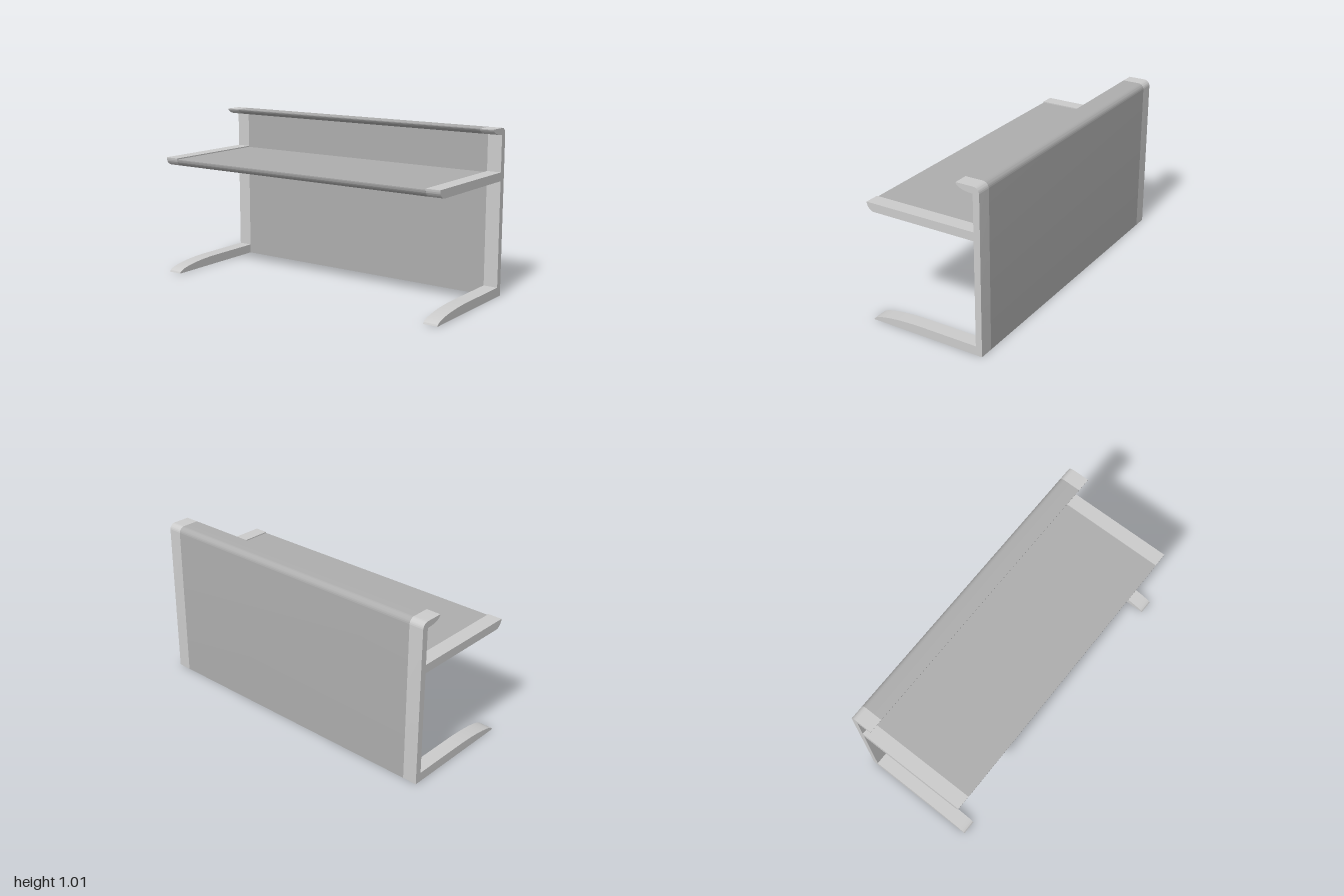
import * as THREE from 'three';
import { toCreasedNormals } from 'three/addons/utils/BufferGeometryUtils.js';

const HALF = 1, INNER = 0.91;          // half length, inner face of the end frames
const FRONT = -0.375, IN = 0.335, BACK = 0.375, TOP = 1.015;

// Side profile of the desk: wall, rounded top lip, shelf and optional foot
function profile(hasFoot, shelfTop) {
  const s = new THREE.Shape();
  s.moveTo(hasFoot ? FRONT : IN, 0);
  s.lineTo(BACK, 0);
  s.lineTo(BACK, TOP - 0.038);
  s.absarc(BACK - 0.038, TOP - 0.038, 0.038, 0, Math.PI / 2, false);
  // lip with a curved underside
  s.lineTo(0.23, TOP);
  s.absellipse(IN, TOP, 0.105, 0.04, Math.PI, Math.PI * 1.5, false, 0);
  // shelf with a rounded lower front edge
  s.lineTo(IN, shelfTop);
  s.lineTo(FRONT, shelfTop);
  s.absellipse(FRONT + 0.05, shelfTop, 0.05, shelfTop - 0.702, Math.PI, Math.PI * 1.5, false, 0);
  s.lineTo(IN, 0.702);
  // foot tapering in a quarter ellipse
  if (hasFoot) {
    s.lineTo(IN, 0.057);
    s.absellipse(-0.02, 0, -0.02 - FRONT, 0.057, Math.PI / 2, Math.PI, false, 0);
  }
  s.closePath();
  return s;
}

function slab(name, shape, z0, z1, color) {
  const geo = new THREE.ExtrudeGeometry(shape, { depth: z1 - z0, bevelEnabled: false, curveSegments: 20 });
  geo.translate(0, 0, z0);
  const mesh = new THREE.Mesh(toCreasedNormals(geo, 0.6), new THREE.MeshStandardMaterial({ color }));
  mesh.name = name;
  return mesh;
}

export function createModel() {
  const group = new THREE.Group();
  group.name = 'receptionDesk';
  // end frames standing on feet
  const frame = profile(true, 0.754);
  group.add(slab('frontEndFrame', frame, INNER, HALF, 0xcccccc));
  group.add(slab('backEndFrame', frame, -HALF, -INNER, 0xcccccc));
  // darker wall, lip and slightly sunken worktop between the frames
  group.add(slab('wallAndWorktop', profile(false, 0.747), -INNER, INNER, 0xadadad));
  return group;
}
